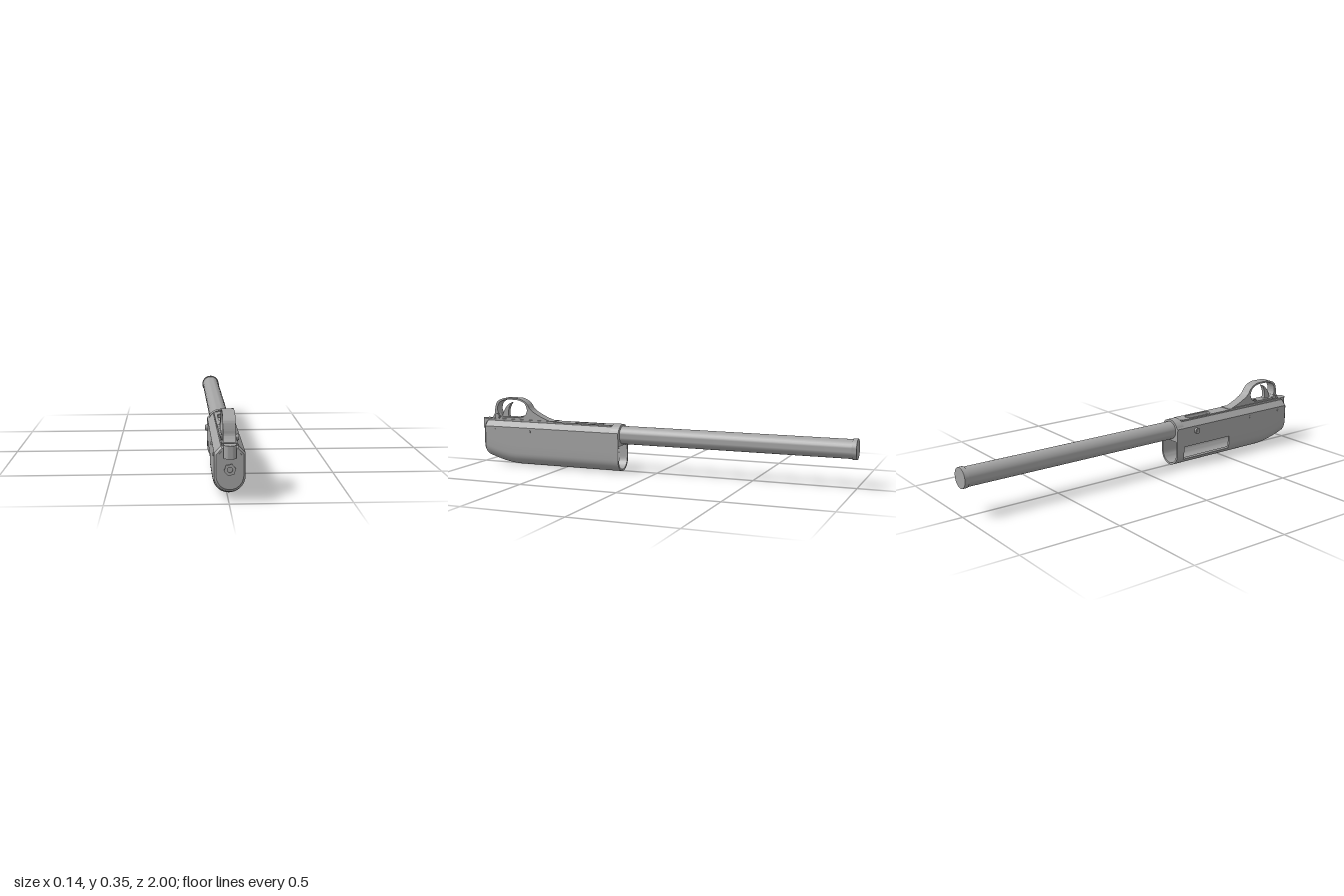
import * as THREE from 'three';
import { toCreasedNormals } from 'three/addons/utils/BufferGeometryUtils.js';

const steel = new THREE.MeshStandardMaterial({ color: 0xa4a4a4, side: THREE.DoubleSide });
steel.name = 'grey steel';

const CX = 0.0045;   // centre line of the receiver
const W = 0.0635;    // half width of the receiver

export function createModel() {
  const model = new THREE.Group();
  model.name = 'receiverAndBarrel';

  const add = (name, geo, x = 0, y = 0, z = 0) => {
    const mesh = new THREE.Mesh(toCreasedNormals(geo, 0.6), steel);
    mesh.name = name;
    mesh.position.set(x, y, z);
    model.add(mesh);
    return mesh;
  };
  const box = (name, w, h, d, x, y, z) => add(name, new THREE.BoxGeometry(w, h, d), x, y, z);
  const rodZ = (name, r, z0, z1, x, y, n = 32) =>
    add(name, new THREE.CylinderGeometry(r, r, z1 - z0, n).rotateX(Math.PI / 2), x, y, (z0 + z1) / 2);
  const rodX = (name, r, x0, x1, y, z, n = 20) =>
    add(name, new THREE.CylinderGeometry(r, r, x1 - x0, n).rotateZ(Math.PI / 2), (x0 + x1) / 2, y, z);
  const extrude = (shape, depth) => new THREE.ExtrudeGeometry(shape, { depth, bevelEnabled: false, curveSegments: 16 });
  // side profile drawn as (z, y), given a width in x
  const profile = (name, shape, width) =>
    add(name, extrude(shape, width).rotateY(-Math.PI / 2).translate(width / 2, 0, 0), CX);
  // plan drawn as (x, -z), laid flat from y0 to y1
  const plan = (name, shape, y0, y1) =>
    add(name, extrude(shape, y1 - y0).rotateX(-Math.PI / 2), CX, y0);
  const vecs = (list) => list.map(([a, b]) => new THREE.Vector2(a, b));

  // ---- receiver shell: lofted cross-sections, hollow, open at the rear
  const zs = [0.185, 0.23, 0.29, 0.45, 0.54, 0.7, 0.78, 0.82, 0.86, 0.9, 0.93, 0.955, 0.965];
  const lastInner = 9;
  const section = (z) => {
    const b = 0.043 * Math.pow(Math.max(0, (z - 0.78) / 0.185), 1.6);
    const pts = [[0.036, 0.228], [0.02, 0.228], [-0.02, 0.228], [-0.036, 0.228], [-W, 0.2], [-W, 0.1 + b]];
    for (let k = 0; k <= 18; k++) {
      const a = Math.PI * (1 + k / 18);
      pts.push([W * Math.cos(a), b + W + W * Math.sin(a)]);
    }
    pts.push([W, 0.1 + b], [W, 0.2]);
    return pts;
  };
  const shrink = (pts, fx, fy, cy) => pts.map(([x, y]) => [x * fx, cy + (y - cy) * fy]);
  const outer = zs.map((z, j) => (j === zs.length - 1 ? shrink(section(z), 0.88, 0.92, 0.13) : section(z)));
  const inner = zs.map((z) => shrink(section(z), 0.85, 0.92, 0.12));
  const n = outer[0].length;
  // side port and top slot are left open
  const open = (i, j) => (i >= 5 && i <= 8 && j >= 1 && j <= 3) || (i === 1 && j === 2);
  const pos = [];
  const P = (rings, i, j) => [...rings[j][(i + n) % n], zs[j]];
  const quad = (a, b, c, d) => pos.push(...a, ...b, ...c, ...a, ...c, ...d);
  for (let j = 0; j < zs.length - 1; j++) {
    for (let i = 0; i < n; i++) {
      const rim = (i0, j0, i1, j1) => quad(P(outer, i0, j0), P(outer, i1, j1), P(inner, i1, j1), P(inner, i0, j0));
      if (open(i, j)) {
        if (!open(i - 1, j)) rim(i, j, i, j + 1);
        if (!open(i + 1, j)) rim(i + 1, j + 1, i + 1, j);
        if (!open(i, j - 1)) rim(i + 1, j, i, j);
        if (!open(i, j + 1)) rim(i, j + 1, i + 1, j + 1);
        continue;
      }
      quad(P(outer, i, j), P(outer, i + 1, j), P(outer, i + 1, j + 1), P(outer, i, j + 1));
      if (j < lastInner) quad(P(inner, i, j), P(inner, i, j + 1), P(inner, i + 1, j + 1), P(inner, i + 1, j));
      if (j === 0) rim(i + 1, 0, i, 0);
    }
  }
  const shell = new THREE.BufferGeometry();
  shell.setAttribute('position', new THREE.Float32BufferAttribute(pos, 3));
  add('receiverShell', shell, CX);
  const face = new THREE.Shape(vecs(outer[zs.length - 1]));
  add('frontFace', new THREE.ShapeGeometry(face), CX, 0, 0.965);
  add('innerWall', new THREE.ShapeGeometry(new THREE.Shape(vecs(inner[lastInner]))), CX, 0, zs[lastInner]);

  // raised panel on the front face
  add('frontPanel', extrude(new THREE.Shape(vecs(shrink(outer[zs.length - 1], 0.9, 0.93, 0.13))), 0.003), CX, 0, 0.965);

  // ---- rear collar with rounded top, holding the barrel
  const collar = new THREE.Shape();
  collar.moveTo(-W + 0.002, 0.132);
  collar.lineTo(W - 0.002, 0.132);
  collar.lineTo(W, 0.18);
  collar.absarc(0, 0.178, W, 0, Math.PI, false);
  collar.closePath();
  add('rearCollar', extrude(collar, 0.045), CX, 0, 0.185);

  // ---- barrel and muzzle ring
  rodZ('barrel', 0.046, -0.998, 0.22, 0.003, 0.185);
  rodZ('muzzleRing', 0.0495, -1, -0.978, 0.003, 0.185);

  // ---- loading plate with an oblong slot, and the lifter below it
  const plate = new THREE.Shape(vecs([[-0.034, -0.57], [0.034, -0.57], [0.034, -0.24], [0.026, -0.23], [-0.026, -0.23], [-0.034, -0.24]]));
  const slot = new THREE.Path();
  slot.absarc(0, -0.31, 0.02, 0, Math.PI, false);
  slot.absarc(0, -0.43, 0.02, Math.PI, Math.PI * 2, false);
  slot.closePath();
  plate.holes.push(slot);
  plan('loadingPlate', plate, 0.226, 0.235);
  box('lifter', 0.044, 0.006, 0.2, CX, 0.212, 0.37);

  // ---- trigger base and guard
  box('triggerBase', 0.066, 0.014, 0.385, CX, 0.231, 0.757);
  const guard = new THREE.Shape();
  guard.moveTo(0.565, 0.232);
  guard.splineThru(vecs([[0.6, 0.241], [0.652, 0.262], [0.7, 0.29], [0.727, 0.325], [0.765, 0.346], [0.815, 0.349],
    [0.866, 0.346], [0.903, 0.326], [0.916, 0.289], [0.92, 0.262], [0.94, 0.232]]));
  guard.closePath();
  const opening = new THREE.Path();
  opening.moveTo(0.76, 0.247);
  opening.splineThru(vecs([[0.735, 0.262], [0.724, 0.29], [0.737, 0.322], [0.77, 0.338], [0.815, 0.341],
    [0.862, 0.337], [0.892, 0.32], [0.902, 0.289], [0.893, 0.262], [0.875, 0.247]]));
  opening.closePath();
  guard.holes.push(opening);
  profile('triggerGuard', guard, 0.052);

  // ---- trigger, catch and safety button
  const trigger = new THREE.Shape();
  trigger.moveTo(0.885, 0.24);
  trigger.quadraticCurveTo(0.87, 0.305, 0.824, 0.325);
  trigger.quadraticCurveTo(0.855, 0.285, 0.84, 0.24);
  trigger.closePath();
  profile('trigger', trigger, 0.02);
  const hump = new THREE.Shape();
  hump.moveTo(0.79, 0.242);
  hump.quadraticCurveTo(0.765, 0.265, 0.735, 0.242);
  hump.closePath();
  profile('triggerCatch', hump, 0.03);
  rodX('safetyButton', 0.012, -0.029, 0.044, 0.251, 0.897);
  rodX('safetyButtonHead', 0.015, 0.035, 0.041, 0.251, 0.897);

  // ---- rounded tang at the front
  const tang = new THREE.Shape();
  tang.moveTo(0.026, -0.9);
  tang.lineTo(-0.026, -0.9);
  tang.lineTo(-0.026, -0.974);
  tang.absarc(0, -0.974, 0.026, Math.PI, Math.PI * 2, false);
  tang.closePath();
  plan('tang', tang, 0.182, 0.236);

  // ---- hexagonal nut with a bore
  const hex = new THREE.Shape();
  for (let k = 0; k < 6; k++) {
    const a = (k * Math.PI) / 3 + 0.18;
    hex[k ? 'lineTo' : 'moveTo'](0.025 * Math.cos(a), 0.025 * Math.sin(a));
  }
  hex.closePath();
  hex.holes.push(new THREE.Path().absarc(0, 0, 0.011, 0, Math.PI * 2, true));
  add('hexNut', extrude(hex, 0.008), CX, 0.133, 0.966);

  // ---- cross pins through both sides and the round side stud
  for (const z of [0.69, 0.9]) rodX('crossPin', 0.007, -0.0615, 0.0715, 0.182, z, 16);
  rodX('sideStud', 0.015, -0.0715, -0.055, 0.175, 0.31);
  rodX('sideStudCap', 0.010, -0.073, -0.07, 0.175, 0.31);

  return model;
}
